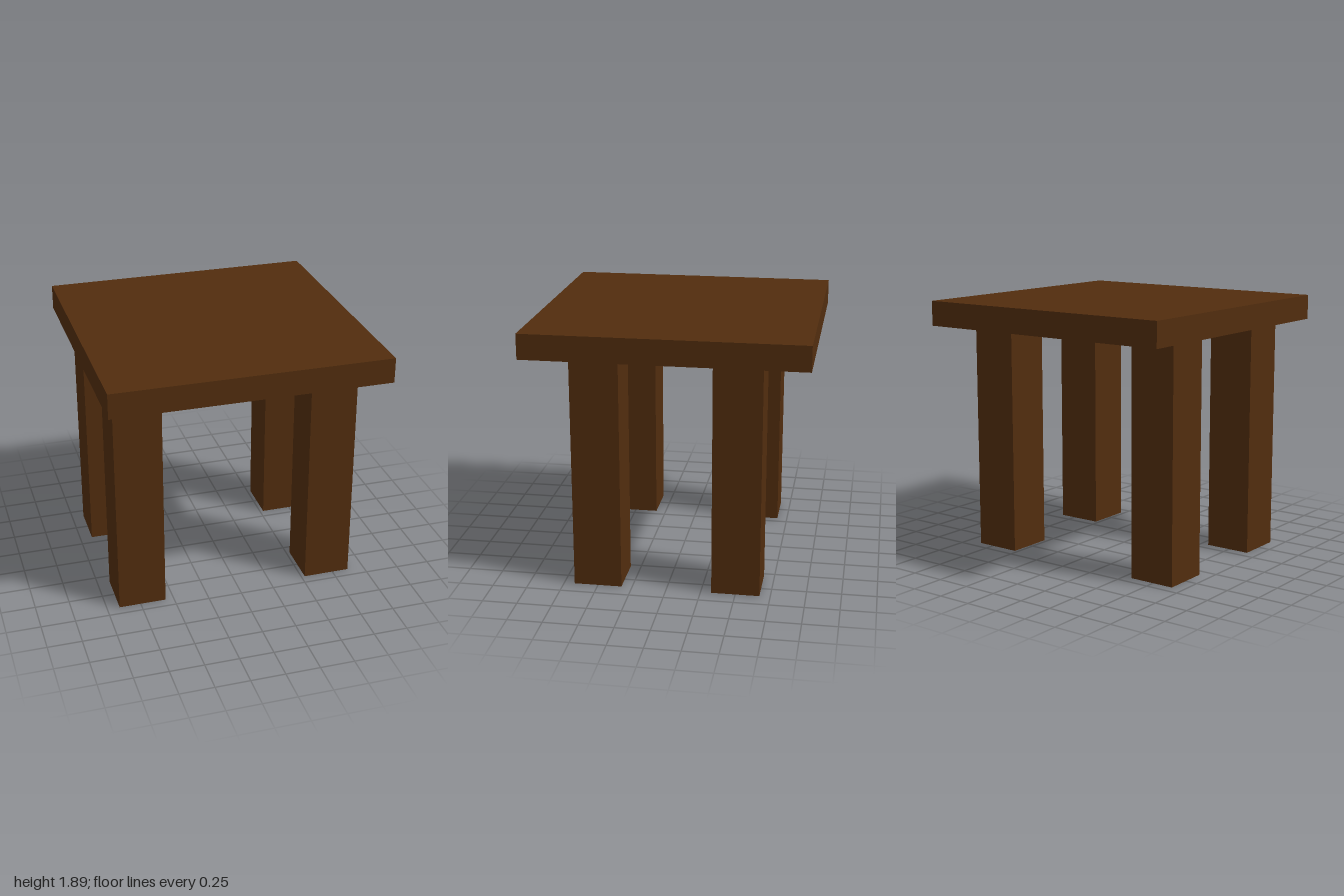
import * as THREE from 'three';

export function createModel() {
  const model = new THREE.Group();
  model.name = 'table';
  const wood = new THREE.MeshStandardMaterial({ color: 0x522d0e });

  const legHeight = 1.708, legWidth = 0.346, topThickness = 0.182;

  // Square slab top
  const top = new THREE.Mesh(new THREE.BoxGeometry(2, topThickness, 2), wood);
  top.name = 'tableTop';
  top.position.y = legHeight + topThickness / 2;
  model.add(top);

  // Four square legs, set slightly towards -x
  const legGeometry = new THREE.BoxGeometry(legWidth, legHeight, legWidth);
  for (const [side, x] of [['Right', -0.735], ['Left', 0.7]]) {
    for (const [end, z] of [['front', 0.5], ['back', -0.5]]) {
      const leg = new THREE.Mesh(legGeometry, wood);
      leg.name = `${end}${side}Leg`;
      leg.position.set(x, legHeight / 2, z);
      model.add(leg);
    }
  }
  return model;
}
